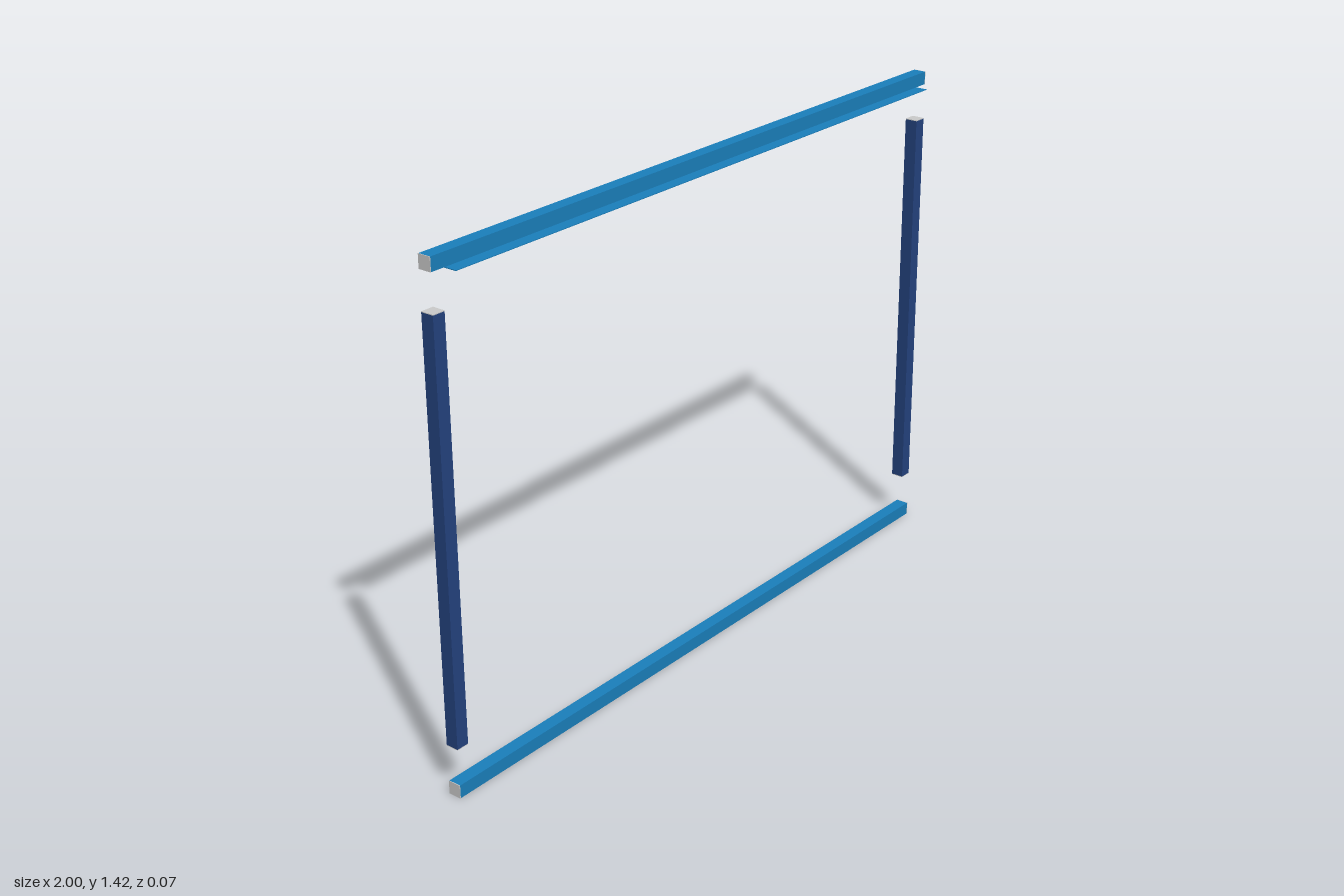
import * as THREE from 'three';

const S = 0.037;        // square section of every bar
const ZC = -0.017;      // bar centre line in z
const CAP = 0.002;      // end cap thickness

const mat = (color) => new THREE.MeshStandardMaterial({ color, flatShading: true });

function box(name, w, h, d, x, y, z, material) {
  const mesh = new THREE.Mesh(new THREE.BoxGeometry(w, h, d), material);
  mesh.name = name;
  mesh.position.set(x, y, z);
  return mesh;
}

// Square bar along x, centred on its own origin, with bare grey cut ends
function bar(name, length, color) {
  const group = new THREE.Group();
  group.name = name;
  const grey = mat(0xcccccc);
  group.add(box(name + 'Body', length - 2 * CAP, S, S, 0, 0, 0, mat(color)));
  for (const s of [-1, 1]) {
    group.add(box(name + 'EndCap', CAP, S, S, s * (length - CAP) / 2, 0, 0, grey));
  }
  return group;
}

export function createModel() {
  const model = new THREE.Group();
  model.name = 'explodedFrame';
  const railColor = 0x1a80bd, postColor = 0x24437f;
  const top = 1.424;

  // Horizontal rails
  for (const [name, y] of [['bottomRail', S / 2], ['topRail', top - S / 2]]) {
    const rail = bar(name, 2, railColor);
    rail.position.set(0, y, ZC);
    model.add(rail);
  }

  // Upright posts, detached from the rails
  const y0 = 0.14, y1 = 1.286;
  for (const [name, s] of [['leftPost', 1], ['rightPost', -1]]) {
    const post = bar(name, y1 - y0, postColor);
    post.rotation.z = Math.PI / 2;
    post.position.set(s * (1 - S / 2), (y0 + y1) / 2, ZC);
    model.add(post);
  }

  // Thin strip under the top rail, projecting to the front
  model.add(box('topStrip', 1.91, 0.002, 0.071, 0, top - S - 0.001, 0, mat(railColor)));
  return model;
}
